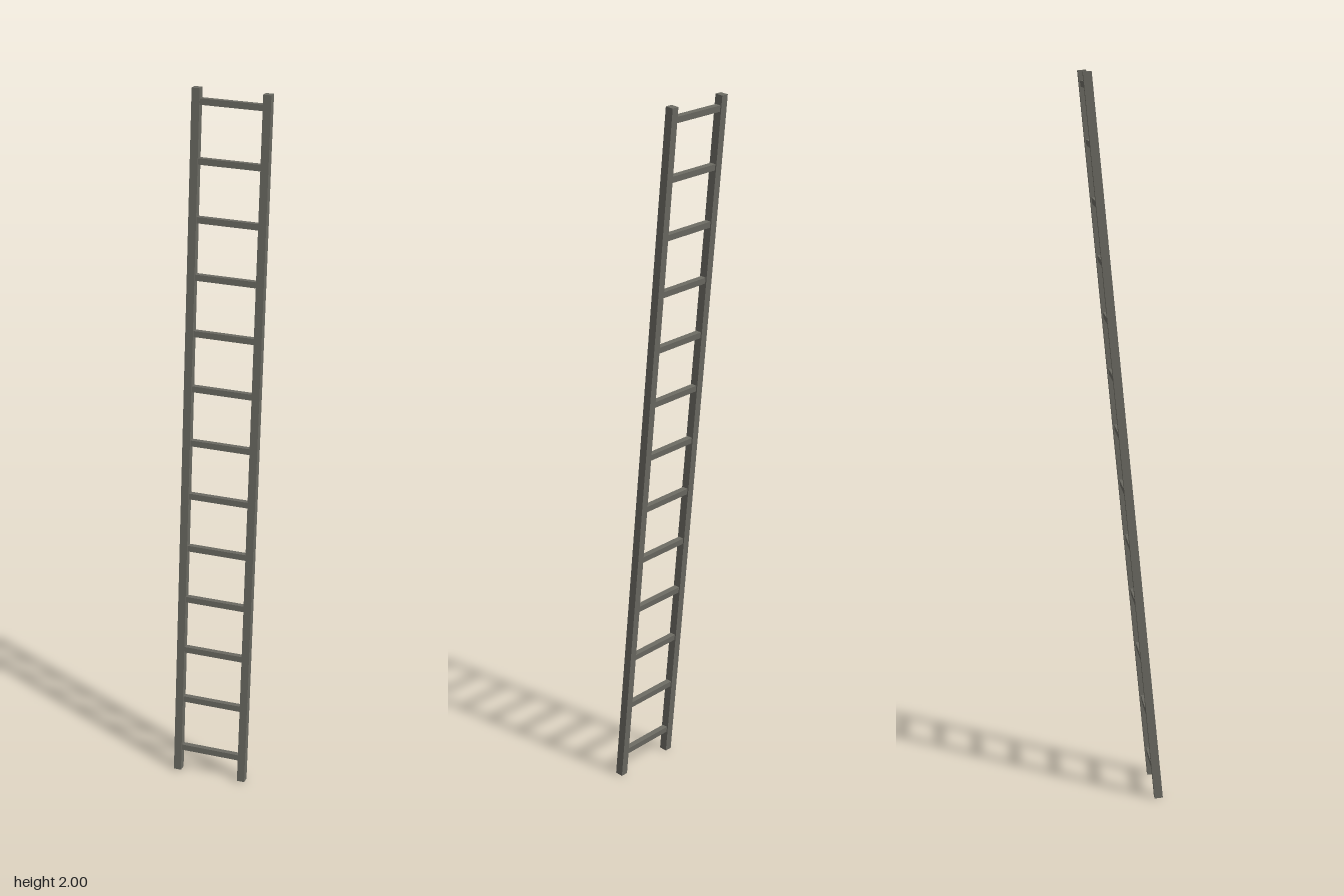
import * as THREE from 'three';

export function createModel() {
  const ladder = new THREE.Group();
  ladder.name = 'ladder';
  const weatheredGrey = new THREE.MeshStandardMaterial({ color: 0x6b6a62 });
  weatheredGrey.name = 'weathered grey';

  const addBar = (name, w, h, d, x, y) => {
    const bar = new THREE.Mesh(new THREE.BoxGeometry(w, h, d), weatheredGrey);
    bar.name = name;
    bar.position.set(x, y, 0);
    ladder.add(bar);
  };

  // Two side rails
  addBar('leftRail', 0.022, 2.007, 0.023, 0.097, 0);
  addBar('rightRail', 0.022, 2.007, 0.023, -0.097, 0);

  // Evenly spaced square rungs between the rails
  const rungs = 13, firstRung = -0.93, spacing = 0.1582;
  for (let i = 0; i < rungs; i++) {
    addBar(`rung${i + 1}`, 0.174, 0.017, 0.016, 0, firstRung + i * spacing);
  }

  // Lean the whole ladder backwards
  ladder.rotation.x = -0.0968;
  ladder.position.y = 1;

  const model = new THREE.Group();
  model.name = 'leaningLadder';
  model.add(ladder);
  return model;
}
